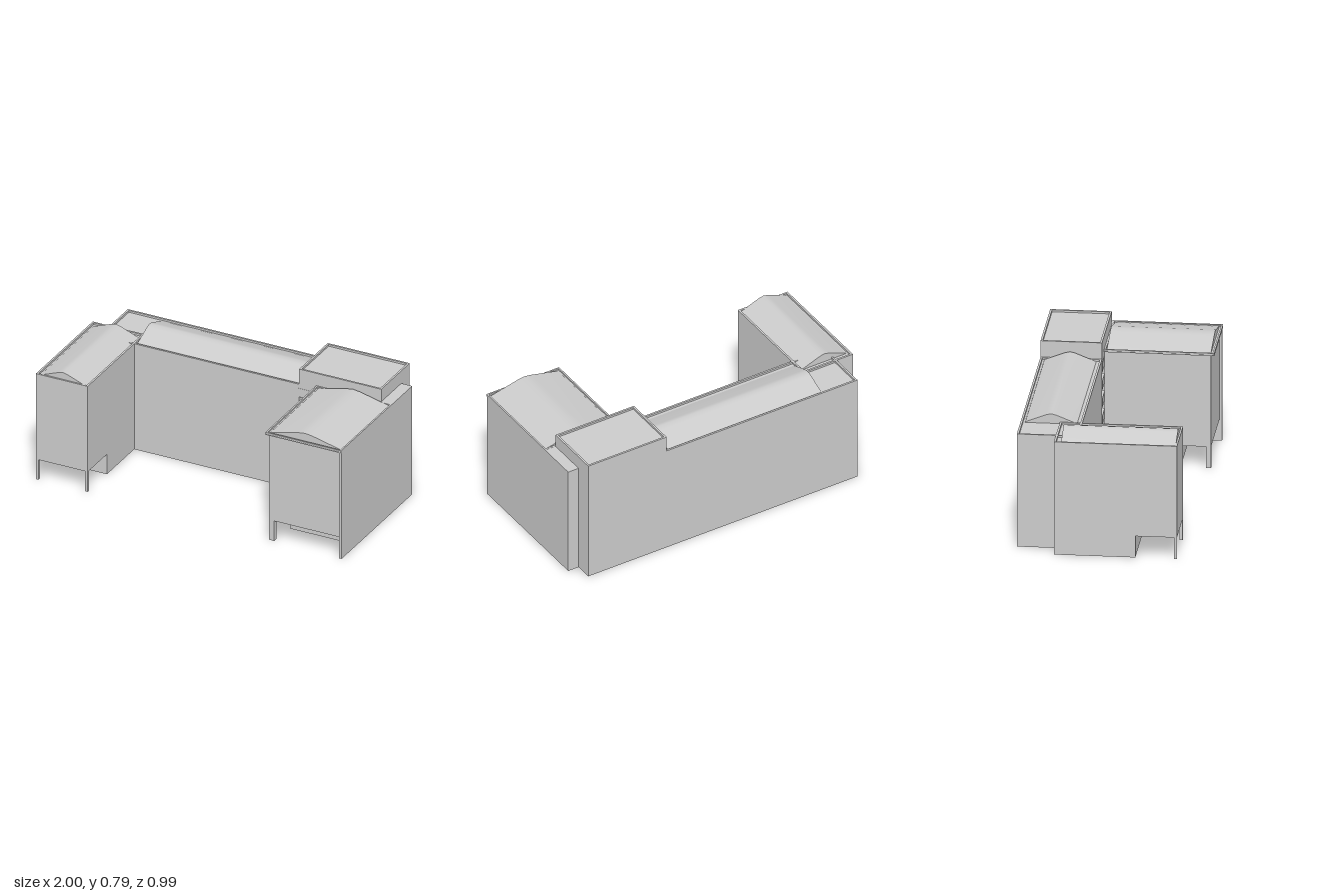
import * as THREE from 'three';

const mat = new THREE.MeshStandardMaterial({ color: 0xcccccc, side: THREE.DoubleSide });

export function createModel() {
  const root = new THREE.Group();

  const add = (geo, name, parent = root) => {
    const mesh = new THREE.Mesh(geo, mat);
    mesh.name = name;
    parent.add(mesh);
    return mesh;
  };

  const group = (name) => {
    const g = new THREE.Group();
    g.name = name;
    root.add(g);
    return g;
  };

  // Solid block given by its limits
  const box = (name, x0, x1, y0, y1, z0, z1, parent) =>
    add(new THREE.BoxGeometry(x1 - x0, y1 - y0, z1 - z0), name, parent)
      .position.set((x0 + x1) / 2, (y0 + y1) / 2, (z0 + z1) / 2);

  // Thin upright walls along a ground path of [x, z] points
  const walls = (name, path, y0, y1, parent) => {
    for (let i = 0; i + 1 < path.length; i++) {
      const [ax, az] = path[i], [bx, bz] = path[i + 1];
      const wall = add(new THREE.PlaneGeometry(Math.hypot(bx - ax, bz - az), y1 - y0), name, parent);
      wall.position.set((ax + bx) / 2, (y0 + y1) / 2, (az + bz) / 2);
      wall.rotation.y = Math.atan2(az - bz, bx - ax);
    }
  };

  // Flat horizontal sheet
  const sheet = (name, x0, x1, z0, z1, y, parent) => {
    const s = add(new THREE.PlaneGeometry(x1 - x0, z1 - z0), name, parent);
    s.rotation.x = -Math.PI / 2;
    s.position.set((x0 + x1) / 2, y, (z0 + z1) / 2);
  };

  // Sunken flat roof with a raised rim
  const flatRoof = (name, x0, x1, z0, z1, top, rim = 0.012, depth = 0.012) => {
    const g = group(name);
    const rect = (C, i) => new C([[x0 + i, z0 + i], [x1 - i, z0 + i], [x1 - i, z1 - i], [x0 + i, z1 - i]]
      .map(([x, z]) => new THREE.Vector2(x, -z)));
    const shape = rect(THREE.Shape, 0);
    shape.holes.push(rect(THREE.Path, rim));
    const geo = new THREE.ExtrudeGeometry(shape, { depth, bevelEnabled: false });
    geo.rotateX(-Math.PI / 2);
    add(geo, 'parapet', g).position.y = top - depth;
    sheet('roofDeck', x0, x1, z0, z1, top - depth, g);
  };

  // Low ridge roof with a slightly rounded crest, ridge along z before turning
  const ridgeRoof = (name, halfWidth, length, height) => {
    const pts = [[-1, 0], [-0.98, 0.08], [-0.2, 0.88], [0, 1], [0.2, 0.88], [0.98, 0.08], [1, 0]];
    const g = group(name);
    const n = pts.length;
    const pos = [], idx = [];
    for (const z of [-length / 2, length / 2])
      for (const [x, y] of pts) pos.push(x * halfWidth, y * height, z);
    for (let i = 0; i + 1 < n; i++) idx.push(i, n + i, i + 1, i + 1, n + i, n + i + 1);
    const slopes = new THREE.BufferGeometry();
    slopes.setAttribute('position', new THREE.Float32BufferAttribute(pos, 3));
    slopes.setIndex(idx);
    slopes.computeVertexNormals();
    add(slopes, 'roofSlopes', g);
    const gable = new THREE.Shape(pts.map(([x, y]) => new THREE.Vector2(x * halfWidth, y * height)));
    for (const s of [-1, 1]) {
      const end = add(new THREE.ShapeGeometry(gable), 'gable', g);
      end.position.z = s * length / 2;
      if (s < 0) end.rotation.y = Math.PI;
    }
    return g;
  };

  // Main range and side wing share one open-bottomed shell
  const shell = group('mainRange');
  walls('outerWall', [[0.93, -0.495], [-0.89, -0.495], [-0.89, -0.27], [-1, -0.27], [-1, 0.2]], 0, 0.675, shell);
  walls('courtWall', [[-0.665, 0.2], [-0.665, -0.14], [0.4, -0.14]], 0, 0.675, shell);
  flatRoof('mainFlatRoof', -0.89, 0.4, -0.495, -0.14, 0.687);
  const mainRoof = ridgeRoof('mainRidgeRoof', 0.15, 1.04, 0.058);
  mainRoof.rotation.y = Math.PI / 2;
  mainRoof.position.set(-0.14, 0.675, -0.322);

  // Side wing: front end overhangs on two posts
  const wing = group('sideWing');
  walls('overhangWall', [[-1, 0.2], [-1, 0.44], [-0.665, 0.44], [-0.665, 0.2]], 0.13, 0.675, wing);
  walls('porchWall', [[-1, 0.2], [-0.665, 0.2]], 0, 0.13, wing);
  sheet('porchSoffit', -1, -0.665, 0.2, 0.44, 0.13, wing);
  for (const x of [-1, -0.683]) box('porchPost', x, x + 0.018, 0, 0.13, 0.422, 0.44, wing);
  flatRoof('sideWingFlatRoof', -1, -0.665, -0.27, 0.44, 0.687);
  ridgeRoof('sideWingRidgeRoof', 0.15, 0.66, 0.056).position.set(-0.83, 0.675, 0.1);

  // Raised corner tower
  const tower = group('tower');
  walls('towerWall', [[0.4, -0.495], [0.93, -0.495], [0.93, -0.14], [0.4, -0.14], [0.4, -0.495]], 0.66, 0.775, tower);
  walls('towerSideWall', [[0.93, -0.495], [0.93, -0.39]], 0, 0.66, tower);
  walls('stairSideWall', [[0.4, -0.14], [0.4, -0.495]], 0, 0.66, tower);
  sheet('stairCeiling', 0.4, 0.93, -0.495, -0.14, 0.66, tower);
  flatRoof('towerFlatRoof', 0.4, 0.93, -0.495, -0.14, 0.786);

  // Stacked gallery rails in the open stair bay
  for (let i = 0; i < 5; i++) {
    const y = 0.178 + i * 0.107;
    box('galleryRail', 0.395, 0.53, y, y + 0.055, -0.17, -0.138, tower);
  }

  // Large wing with its thick end wall
  const big = group('largeWing');
  box('endWall', 0.985, 1, 0, 0.7, -0.39, 0.49, big);
  walls('backWall', [[0.93, -0.39], [0.99, -0.39]], 0, 0.695, big);
  walls('courtWall', [[0.525, -0.14], [0.525, 0.15]], 0, 0.69, big);
  walls('overhangWall', [[0.525, 0.15], [0.525, 0.475], [0.99, 0.475]], 0.13, 0.69, big);
  walls('recessWall', [[0.525, 0.15], [0.57, 0.15], [0.57, 0.3], [0.985, 0.3]], 0, 0.13, big);
  sheet('recessSoffit', 0.525, 0.985, 0.3, 0.475, 0.13, big);
  sheet('sideSoffit', 0.525, 0.57, 0.15, 0.3, 0.13, big);
  box('cornerPost', 0.525, 0.557, 0, 0.13, 0.445, 0.475, big);
  box('cornice', 0.51, 1, 0.69, 0.695, -0.14, 0.495, big);
  box('backCornice', 0.93, 1, 0.69, 0.705, -0.39, -0.14, big);
  flatRoof('largeWingFlatRoof', 0.51, 1, -0.14, 0.495, 0.706, 0.01, 0.01);
  ridgeRoof('largeWingRidgeRoof', 0.228, 0.6, 0.053).position.set(0.757, 0.697, 0.174);

  return root;
}
